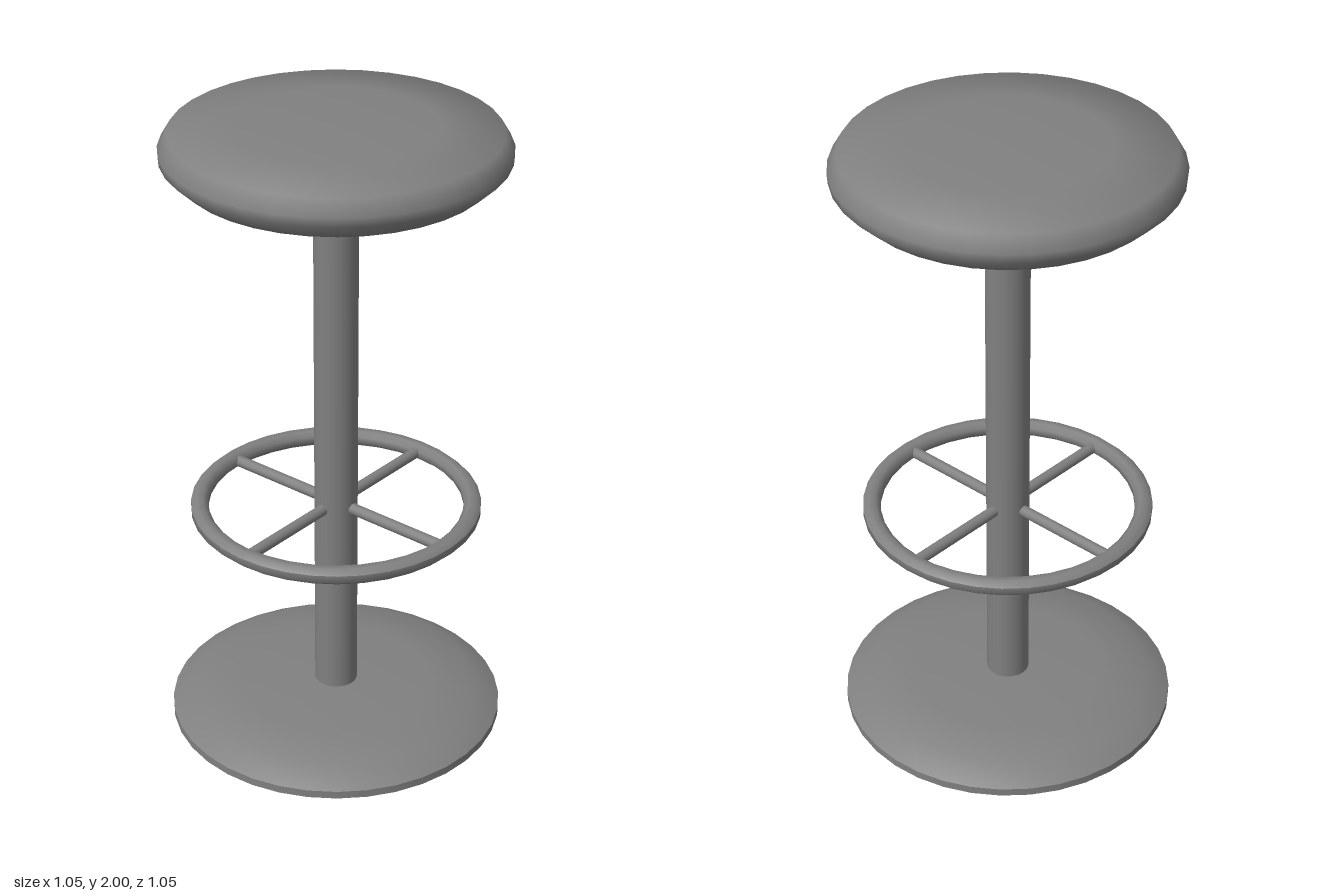
import * as THREE from 'three';
import { toCreasedNormals } from 'three/addons/utils/BufferGeometryUtils.js';

const SIDES = 36;

export function createModel() {
  const stool = new THREE.Group();
  stool.name = 'barStool';
  const grey = new THREE.MeshStandardMaterial({ color: 0x808080 });
  grey.name = 'grey';

  const add = (name, geometry, parent = stool) => {
    const mesh = new THREE.Mesh(geometry, grey);
    mesh.name = name;
    parent.add(mesh);
    return mesh;
  };

  // Turned part from a [radius, height] profile, listed bottom to top
  const turned = (name, profile, crease) => {
    const points = profile.map(([r, y]) => new THREE.Vector2(r, y));
    // offset by a quarter turn so that corners fall on the axes
    return add(name, toCreasedNormals(new THREE.LatheGeometry(points, SIDES), crease));
  };

  // Domed floor plate
  turned('base', [[0, 0], [0.525, 0], [0.525, 0.025], [0.447, 0.073], [0.3, 0.085], [0.13, 0.093], [0, 0.095]], 0.8);

  // Central column
  const column = add('column', new THREE.CylinderGeometry(0.067, 0.067, 1.68, SIDES, 1, true));
  column.position.y = 0.92;

  // Conical seat support
  turned('seatSupport', [[0, 1.742], [0.185, 1.742], [0.285, 1.848]], 0.6);

  // Cushion with bevelled rim and softly domed top
  turned('seat', [[0, 1.847], [0.455, 1.847], [0.511, 1.9], [0.513, 1.928], [0.485, 1.975],
    [0.3, 1.992], [0.13, 1.999], [0, 2]], 1.15);

  // Footrest: eight-sided ring and four spokes
  const footrest = new THREE.Group();
  footrest.name = 'footrest';
  footrest.position.y = 0.743;
  stool.add(footrest);

  const ringProfile = [];
  for (let i = 0; i <= 8; i++) {
    const a = (i + 0.5) * Math.PI / 4;
    ringProfile.push(new THREE.Vector2(0.422 + 0.029 * Math.cos(a), 0.028 * Math.sin(a)));
  }
  add('footRing', new THREE.LatheGeometry(ringProfile, SIDES), footrest);

  for (let i = 0; i < 4; i++) {
    const pivot = new THREE.Group();
    pivot.name = 'spokePivot';
    pivot.rotation.y = i * Math.PI / 2;
    footrest.add(pivot);
    const spoke = add('spoke', new THREE.CylinderGeometry(0.018, 0.018, 0.36, 12), pivot);
    spoke.rotation.z = Math.PI / 2;
    spoke.position.x = 0.23;
  }

  return stool;
}
